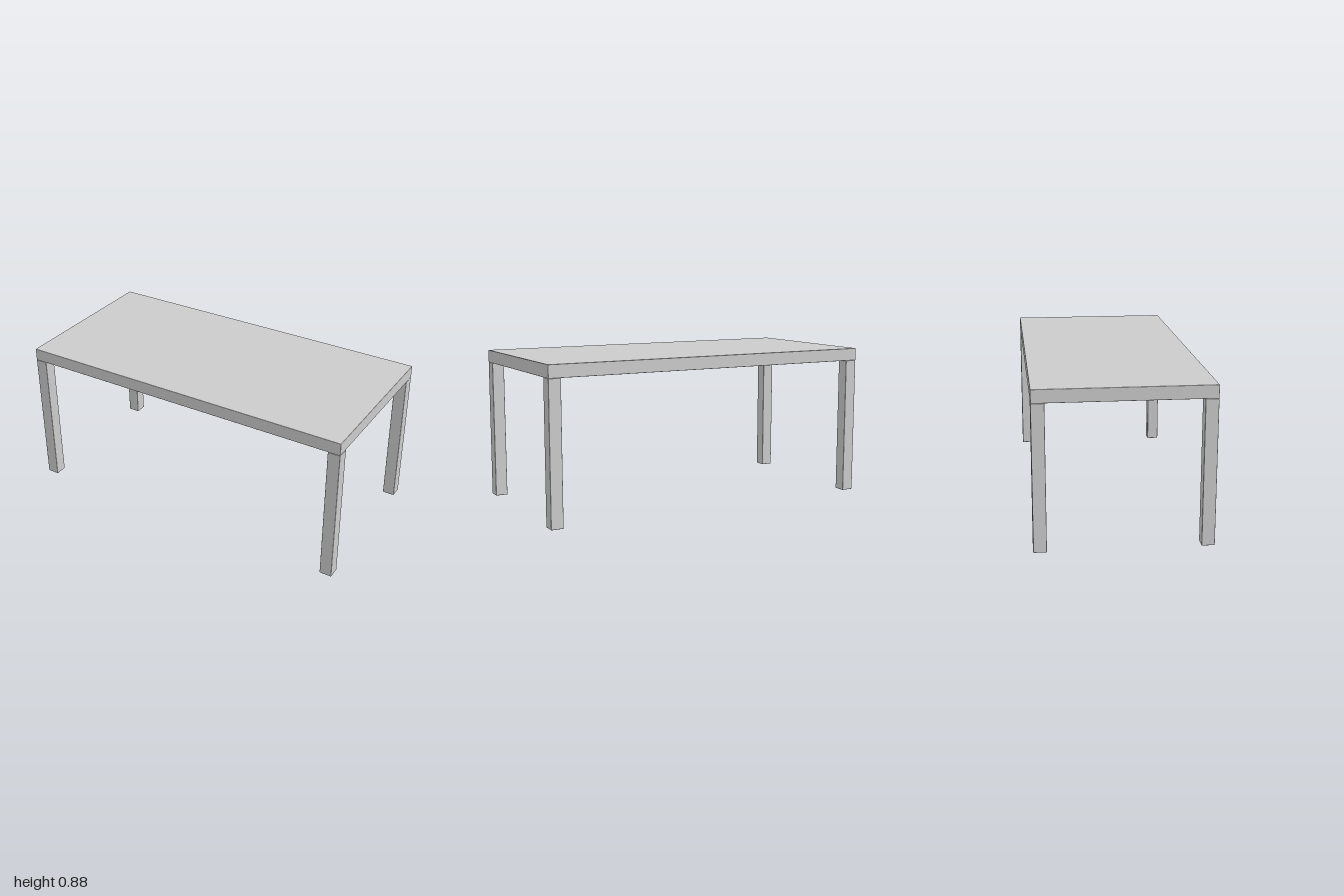
import * as THREE from 'three';
import { RoundedBoxGeometry } from 'three/addons/geometries/RoundedBoxGeometry.js';

const WIDTH = 2, DEPTH = 0.96, HEIGHT = 0.877;
const TOP = 0.073, LEG = 0.071, BEVEL = 0.003;

export function createModel() {
  const table = new THREE.Group();
  table.name = 'table';
  const material = new THREE.MeshStandardMaterial({ color: 0xcccccc });

  // Box with finely eased edges, standing on y
  const addBoard = (name, w, h, d, x, y, z) => {
    const mesh = new THREE.Mesh(new RoundedBoxGeometry(w, h, d, 2, BEVEL), material);
    mesh.name = name;
    mesh.position.set(x, y + h / 2, z);
    table.add(mesh);
  };

  // Table top
  const legHeight = HEIGHT - TOP;
  addBoard('tableTop', WIDTH, TOP, DEPTH, 0, legHeight, 0);

  // Four square legs, flush with the corners of the top
  for (const [side, sx] of [['Left', 1], ['Right', -1]]) {
    for (const [end, sz] of [['front', 1], ['back', -1]]) {
      addBoard(`${end}${side}Leg`, LEG, legHeight, LEG,
        sx * (WIDTH - LEG) / 2, 0, sz * (DEPTH - LEG) / 2);
    }
  }
  return table;
}
